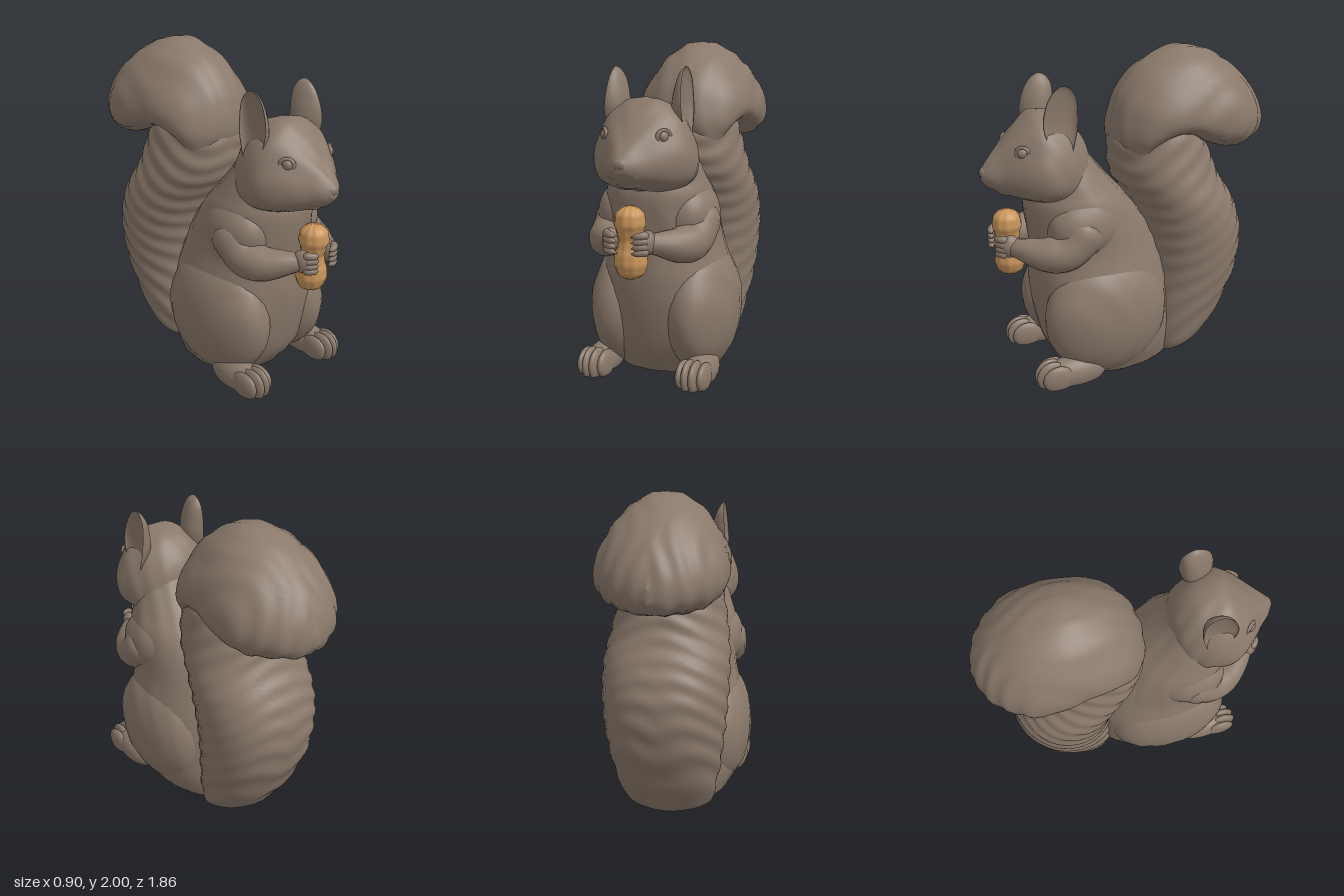
import * as THREE from 'three';
import { mergeVertices } from 'three/addons/utils/BufferGeometryUtils.js';

const furMat = new THREE.MeshStandardMaterial({ color: 0x8a796b });
furMat.name = 'brown fur';
const nutMat = new THREE.MeshStandardMaterial({ color: 0xc8945a });
nutMat.name = 'tan shell';

// Smooth interpolation through rows of numbers, u from 0 to 1
function sample(rows, u) {
  const s = u * (rows.length - 1), i = Math.min(Math.floor(s), rows.length - 2), t = s - i;
  const at = k => rows[Math.max(0, Math.min(rows.length - 1, k))];
  const [p, q, r, w] = [at(i - 1), at(i), at(i + 1), at(i + 2)];
  return q.map((v, k) => v + 0.5 * t * (r[k] - p[k]
    + t * (2 * p[k] - 5 * v + 4 * r[k] - w[k] + t * (3 * (v - r[k]) + w[k] - p[k]))));
}

// Closed loft; each row is [az, ay, bz, by, halfWidth, bias of widest point toward a]
function loft(rows, steps = 60, sides = 56, round = 1) {
  const pos = [], index = [];
  for (let i = 0; i <= steps; i++) {
    const [az, ay, bz, by, w, bias] = sample(rows, i / steps);
    for (let j = 0; j < sides; j++) {
      const t = j / sides * Math.PI * 2, c = Math.cos(t), s = Math.sin(t);
      const k = (c + bias * (1 - c * c)) / 2;
      pos.push(w * Math.sign(s) * Math.abs(s) ** round,
        (ay + by) / 2 + (ay - by) * k, (az + bz) / 2 + (az - bz) * k);
    }
  }
  const n = pos.length / 3;
  for (const r of [rows[0], rows[rows.length - 1]]) pos.push(0, (r[1] + r[3]) / 2, (r[0] + r[2]) / 2);
  for (let j = 0; j < sides; j++) {
    const j2 = (j + 1) % sides, top = steps * sides;
    for (let i = 0; i < steps; i++) {
      const a = i * sides + j, b = i * sides + j2;
      index.push(a, b, a + sides, b, b + sides, a + sides);
    }
    index.push(n, j2, j, n + 1, top + j, top + j2);
  }
  const g = new THREE.BufferGeometry();
  g.setAttribute('position', new THREE.Float32BufferAttribute(pos, 3));
  g.setIndex(index);
  return g;
}

// Move every vertex by a rule
function warp(g, rule) {
  const p = g.attributes.position, v = new THREE.Vector3();
  for (let i = 0; i < p.count; i++) {
    v.fromBufferAttribute(p, i);
    rule(v, i);
    p.setXYZ(i, v.x, v.y, v.z);
  }
  return g;
}

// Weld, add relief along the normals, keep above the floor and smooth
function finish(g, relief) {
  g.deleteAttribute('uv');
  g.deleteAttribute('normal');
  g = mergeVertices(g, 1e-5);
  g.computeVertexNormals();
  const n = g.attributes.normal.clone();
  warp(g, (v, i) => {
    if (relief) v.addScaledVector(new THREE.Vector3().fromBufferAttribute(n, i), relief(v));
    v.y = Math.max(0, v.y);
  });
  g.computeVertexNormals();
  return g;
}

// Limb along a curve with changing radius
function limb(points, radii, steps = 28) {
  const curve = new THREE.CatmullRomCurve3(points.map(p => new THREE.Vector3(...p)));
  return warp(new THREE.TubeGeometry(curve, steps, 1, 16), (v, i) => {
    const u = Math.floor(i / 17) / steps, c = curve.getPointAt(u);
    v.sub(c).multiplyScalar(Math.max(0, sample(radii.map(r => [r]), u)[0])).add(c);
  });
}

const ball = (x, y, z, a, b, c) => new THREE.SphereGeometry(1, 36, 24).scale(a, b, c).translate(x, y, z);

function mirror(g) {
  const m = g.clone().scale(-1, 1, 1), ix = m.index;
  for (let i = 0; i < ix.count; i += 3) {
    const a = ix.getX(i);
    ix.setX(i, ix.getX(i + 1));
    ix.setX(i + 1, a);
  }
  m.computeVertexNormals();
  return m;
}

export function createModel() {
  const model = new THREE.Group();
  model.name = 'squirrel';
  const add = (name, g, relief, mat = furMat) => {
    const mesh = new THREE.Mesh(finish(g, relief), mat);
    mesh.name = name;
    model.add(mesh);
    return mesh;
  };
  const pair = (name, g, relief) => {
    const left = add(name + 'Left', g, relief);
    const right = new THREE.Mesh(mirror(left.geometry), furMat);
    right.name = name + 'Right';
    model.add(right);
  };

  // Fur strands: fine upright locks for the body, slanted ribs for the tail
  const locks = v => 0.003 * Math.sin(Math.abs(v.x) * 48 + v.z * 30 + 2 * Math.sin(v.y * 7));
  const ribs = v => 0.006 * Math.sin(44 * (v.y + 0.65 * v.z) + 2 * Math.sin(Math.abs(v.x) * 10 + v.y * 4));
  const strands = v => 0.005 * Math.sin(Math.abs(v.x) * 50 + 3 * Math.sin(v.z * 8 + v.y * 4));

  // Torso and neck, narrowing toward the tail
  add('torso', loft([
    [0.45, 0, -0.3, 0, 0.32, 0.2], [0.56, 0.16, -0.29, 0.16, 0.39, 0.1],
    [0.62, 0.4, -0.27, 0.4, 0.415, 0.05], [0.64, 0.6, -0.25, 0.6, 0.39, 0.05],
    [0.63, 0.8, -0.18, 0.8, 0.345, 0.05], [0.65, 0.95, -0.1, 0.95, 0.335, 0.05],
    [0.66, 1.1, 0.02, 1.1, 0.325, 0], [0.63, 1.2, 0.11, 1.2, 0.29, 0],
    [0.58, 1.35, 0.235, 1.35, 0.23, 0], [0.52, 1.5, 0.33, 1.5, 0.14, 0]], 60, 56, 0.95), locks);
  pair('haunch', ball(0.24, 0.38, 0.23, 0.213, 0.395, 0.4), locks);

  // Tail column and curled plume
  add('tail', loft([
    [-0.15, 0, -0.35, 0, 0.2, 0], [-0.11, 0.07, -0.52, 0.08, 0.27, 0],
    [-0.12, 0.3, -0.66, 0.3, 0.325, 0], [-0.13, 0.55, -0.76, 0.55, 0.36, 0],
    [-0.1, 0.8, -0.78, 0.8, 0.38, 0], [-0.03, 1.02, -0.72, 1, 0.38, 0],
    [0.07, 1.2, -0.61, 1.18, 0.35, 0], [0.092, 1.38, -0.56, 1.31, 0.32, 0],
    [0.06, 1.56, -0.5, 1.42, 0.29, 0], [-0.03, 1.72, -0.42, 1.52, 0.22, 0]], 80, 56, 0.87), ribs);
  add('tailPlume', loft([
    [0.04, 1.32, -0.12, 1.36, 0.23, 0], [0.092, 1.46, -0.2, 1.42, 0.29, -0.05],
    [0.08, 1.6, -0.3, 1.46, 0.33, -0.15], [0.02, 1.75, -0.37, 1.46, 0.358, -0.28],
    [-0.12, 1.9, -0.455, 1.41, 0.375, -0.35], [-0.35, 1.995, -0.58, 1.36, 0.38, -0.35],
    [-0.58, 1.945, -0.68, 1.345, 0.365, -0.3], [-0.76, 1.815, -0.775, 1.36, 0.295, -0.2],
    [-0.875, 1.67, -0.875, 1.39, 0.18, -0.1], [-0.93, 1.54, -0.93, 1.46, 0.02, 0]], 70), strands);

  // Head
  add('head', loft([
    [0.29, 1.28, 0.27, 1.4, 0.08, 0], [0.33, 1.16, 0.31, 1.51, 0.2, 0.2],
    [0.42, 1.12, 0.4, 1.62, 0.27, 0.3], [0.52, 1.12, 0.5, 1.66, 0.305, 0.32],
    [0.6, 1.13, 0.6, 1.665, 0.305, 0.32], [0.68, 1.145, 0.68, 1.605, 0.268, 0.28],
    [0.76, 1.17, 0.76, 1.52, 0.2, 0.18], [0.83, 1.195, 0.83, 1.44, 0.13, 0.1],
    [0.89, 1.23, 0.89, 1.375, 0.08, 0], [0.925, 1.27, 0.925, 1.335, 0.035, 0]], 60, 56, 0.88), locks);
  add('nose', ball(0, 1.318, 0.9, 0.045, 0.035, 0.033));
  add('chin', ball(0, 1.205, 0.775, 0.085, 0.035, 0.06));
  pair('muzzle', ball(0.04, 1.26, 0.83, 0.06, 0.045, 0.055));
  pair('eye', ball(0.176, 1.46, 0.71, 0.028, 0.034, 0.038));
  pair('eyelid', new THREE.TorusGeometry(0.04, 0.012, 8, 28).scale(1, 0.85, 1)
    .rotateY(0.9).translate(0.18, 1.462, 0.716));

  // Cupped ears, open to the sides
  const ear = loft([
    [0.56, 1.46, 0.43, 1.46, 0.06, 0], [0.6, 1.58, 0.4, 1.58, 0.1, -0.2],
    [0.602, 1.66, 0.393, 1.68, 0.09, -0.2], [0.575, 1.75, 0.4, 1.77, 0.062, -0.2],
    [0.535, 1.81, 0.43, 1.82, 0.033, -0.1], [0.49, 1.84, 0.465, 1.84, 0.005, 0]], 30, 32);
  pair('ear', warp(ear, v => {
    if (v.x > 0) v.x *= -0.4;
    v.x += 0.24 - 0.07 * Math.max(0, v.y - 1.58);
  }));

  // Arms, paws and fingers holding the nut
  pair('shoulder', ball(0.21, 0.97, 0.36, 0.16, 0.21, 0.23), locks);
  pair('arm', limb(
    [[0.23, 1.08, 0.28], [0.255, 0.95, 0.38], [0.262, 0.85, 0.49], [0.235, 0.835, 0.6], [0.17, 0.855, 0.71], [0.1, 0.87, 0.79]],
    [0, 0.13, 0.125, 0.113, 0.083, 0.053]));
  pair('paw', ball(0.113, 0.876, 0.795, 0.046, 0.07, 0.06));
  for (let i = 0; i < 4; i++) {
    const y = 0.83 + i * 0.031;
    pair('finger' + (i + 1), limb(
      [[0.13, y, 0.8], [0.11, y, 0.845], [0.08, y - 0.003, 0.863], [0.04, y - 0.012, 0.86]],
      [0, 0.023, 0.022, 0.018, 0], 14));
  }

  // Peanut with a ridged shell
  const shell = [[0, -0.213], [0.045, -0.2], [0.08, -0.165], [0.094, -0.11], [0.085, -0.05], [0.068, 0.005],
    [0.074, 0.06], [0.088, 0.11], [0.08, 0.165], [0.048, 0.202], [0, 0.214]];
  const profile = Array.from({ length: 41 }, (_, i) => {
    const [r, y] = sample(shell, i / 40);
    return new THREE.Vector2(Math.max(0, r), y);
  });
  add('peanut', new THREE.LatheGeometry(profile, 60).rotateX(0.05).translate(0, 0.863, 0.775), v =>
    0.002 * Math.cos(10 * Math.atan2(v.x, v.z - 0.775)) + 0.0015 * Math.cos(v.y * 110), nutMat);

  // Hind feet with four toes each
  pair('foot', ball(0.315, 0.06, 0.48, 0.095, 0.108, 0.21));
  for (let i = 0; i < 4; i++) {
    const inner = Math.abs(i - 1.5) < 1;
    pair('toe' + (i + 1), ball(0.25 + i * 0.044, 0.065, inner ? 0.63 : 0.605,
      0.034, inner ? 0.1 : 0.085, 0.1));
  }
  return model;
}
